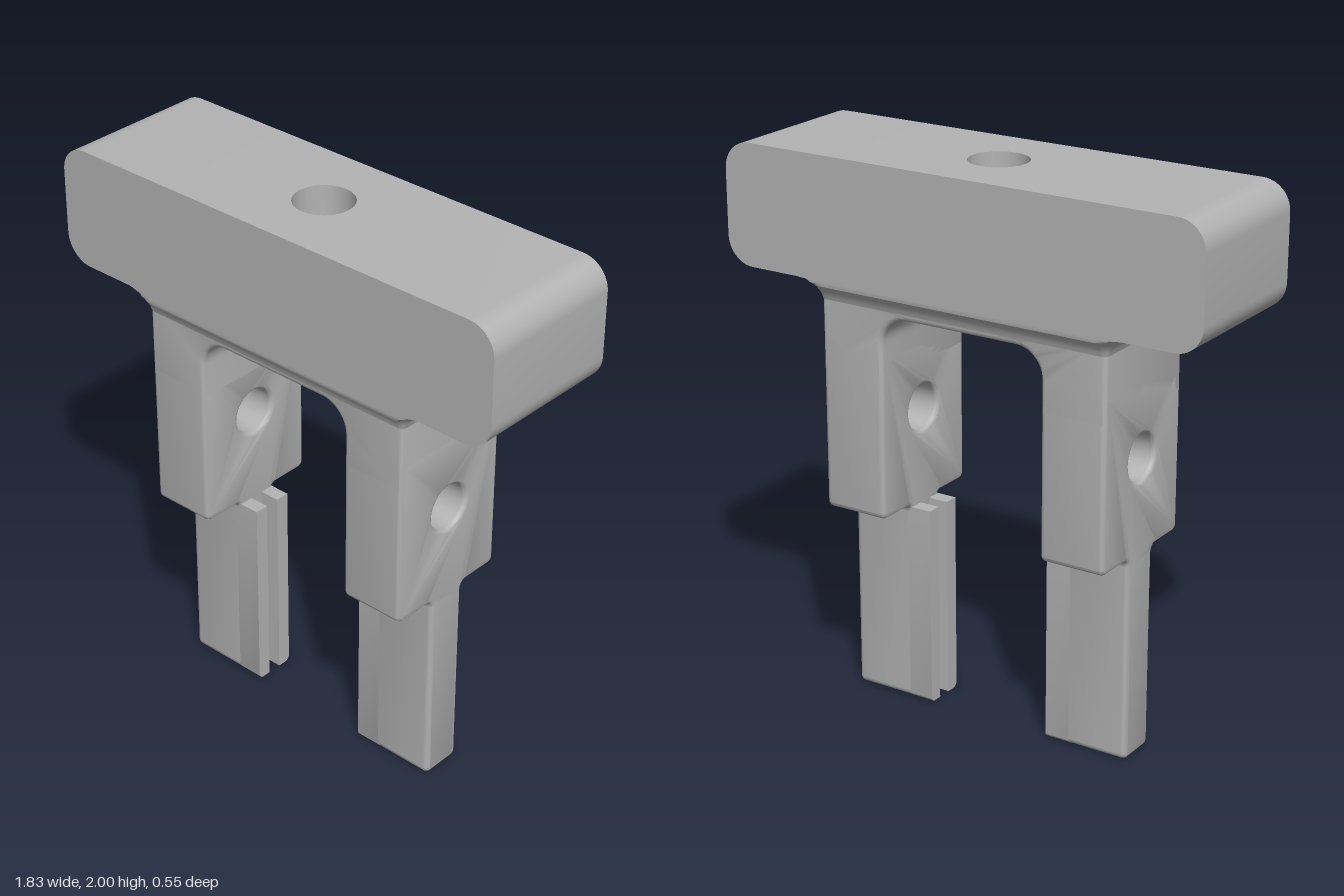
import * as THREE from 'three';
import { toCreasedNormals } from 'three/addons/utils/BufferGeometryUtils.js';

const grey = new THREE.MeshStandardMaterial({ color: 0xb3b3b3 });
grey.name = 'plain grey';

const BEVEL = 0.018; // edge rounding of the fork
const ZC = 0.007; // the fork sits slightly forward of the head

// closed outline from [x, y, cornerRadius] points, convex or concave
function outline(points) {
  const shape = new THREE.Shape();
  const n = points.length;
  points.forEach(([x, y, r = 0], i) => {
    const corner = new THREE.Vector2(x, y);
    const towards = (p) =>
      new THREE.Vector2(p[0] - x, p[1] - y).normalize().multiplyScalar(r).add(corner);
    const a = towards(points[(i + n - 1) % n]);
    const b = towards(points[(i + 1) % n]);
    if (i === 0) shape.moveTo(a.x, a.y);
    else shape.lineTo(a.x, a.y);
    if (r > 0) {
      // cubic approximation of a quarter circle
      const c1 = a.clone().lerp(corner, 0.5523);
      const c2 = b.clone().lerp(corner, 0.5523);
      shape.bezierCurveTo(c1.x, c1.y, c2.x, c2.y, b.x, b.y);
    }
  });
  return shape;
}

function circle(x, y, r) {
  return new THREE.Path().absarc(x, y, r, 0, Math.PI * 2, true);
}

// extrusion centred on its own depth, bevel kept inside the outline
function extrude(shape, depth, bevel = 0) {
  const geo = new THREE.ExtrudeGeometry(shape, {
    depth: depth - 2 * bevel,
    bevelEnabled: bevel > 0,
    bevelSize: bevel,
    bevelThickness: bevel,
    bevelOffset: -bevel,
    bevelSegments: 4,
    curveSegments: 12,
  });
  return geo.translate(0, 0, -depth / 2 + bevel);
}

// flared collar: rounded rectangles growing upwards, trimmed at the head's faces
function collarGeometry() {
  const R = 0.095, y0 = 1.475, levels = 9, perCorner = 6;
  const pos = [], index = [];
  const ring = perCorner * 4;
  for (let i = 0; i < levels; i++) {
    const angle = 0.22 + (Math.PI / 2 - 0.22) * (i / (levels - 1));
    const y = y0 + R * Math.sin(angle);
    const grow = R * (1 - Math.cos(angle));
    const r = 0.02 + grow;
    for (let c = 0; c < 4; c++) {
      const sx = c === 0 || c === 3 ? 1 : -1;
      const sz = c < 2 ? 1 : -1;
      for (let k = 0; k < perCorner; k++) {
        const a = (c + k / (perCorner - 1)) * Math.PI / 2;
        const x = sx * 0.535 + r * Math.cos(a);
        const z = ZC + sz * 0.224 + r * Math.sin(a);
        pos.push(x, y, THREE.MathUtils.clamp(z, -0.274, 0.274));
      }
    }
  }
  for (let i = 0; i < levels - 1; i++) {
    for (let j = 0; j < ring; j++) {
      const a = i * ring + j, b = i * ring + (j + 1) % ring;
      index.push(a, a + ring, b, b, a + ring, b + ring);
    }
  }
  const geo = new THREE.BufferGeometry();
  geo.setAttribute('position', new THREE.Float32BufferAttribute(pos, 3));
  geo.setIndex(index);
  return geo;
}

export function createModel() {
  const model = new THREE.Group();
  model.name = 'forkBracket';
  const add = (name, geo, parent = model) => {
    const mesh = new THREE.Mesh(toCreasedNormals(geo, 0.6), grey);
    mesh.name = name;
    parent.add(mesh);
    return mesh;
  };

  // head: rounded bar with a pocket in which the drilled core sits
  const W = 0.916, bottom = 1.57, floor = 1.7, core = 0.2;
  add('head', extrude(outline([
    [-W, bottom, 0.1], [W, bottom, 0.1], [W, 2, 0.1], [core, 2],
    [core, floor], [-core, floor], [-core, 2], [-W, 2, 0.1],
  ]), 0.548));
  const coreShape = outline([
    [-core, -0.274], [core, -0.274], [core, 0.274], [-core, 0.274],
  ]);
  coreShape.holes.push(circle(0, 0, 0.104));
  add('drilledCore', extrude(coreShape, 2 - floor)
    .rotateX(-Math.PI / 2).translate(0, (2 + floor) / 2, 0));

  // collar blending the fork into the head
  add('collar', collarGeometry());

  // arch joining the two legs
  const outer = 0.555, inner = 0.313;
  add('arch', extrude(outline([
    [-outer, 1.25], [-inner, 1.25], [-inner, 1.472, 0.1], [inner, 1.472, 0.1],
    [inner, 1.25], [outer, 1.25], [outer, 1.56], [-outer, 1.56],
  ]), 0.488, BEVEL).translate(0, 0, ZC));

  // side outline of a leg stepping down to a narrow blade
  const legShape = outline([
    [-0.078, 0, 0.022], [0.078, 0, 0.022], [0.078, 0.74, 0.025], [0.244, 0.74, 0.025],
    [0.244, 1.36], [-0.244, 1.36], [-0.244, 0.74, 0.025], [-0.078, 0.74, 0.025],
  ]);
  legShape.holes.push(circle(0, 1.08, 0.083));

  for (const side of [1, -1]) {
    const leg = new THREE.Group();
    leg.name = side > 0 ? 'leftLeg' : 'rightLeg';
    model.add(leg);
    add('legAndBlade', extrude(legShape, outer - inner, BEVEL)
      .rotateY(Math.PI / 2).translate(side * (outer + inner) / 2, 0, ZC), leg);

    // two lips on the inner edge of the blade, leaving a slot between them
    for (const face of [1, -1]) {
      const lip = outline(face > 0
        ? [[0.026, 0], [0.078, 0, 0.02], [0.078, 0.735], [0.026, 0.735]]
        : [[-0.078, 0, 0.02], [-0.026, 0], [-0.026, 0.735], [-0.078, 0.735]]);
      add('slotLip', extrude(lip, 0.097)
        .rotateY(Math.PI / 2).translate(side * 0.287, 0, ZC), leg);
    }
  }
  return model;
}
